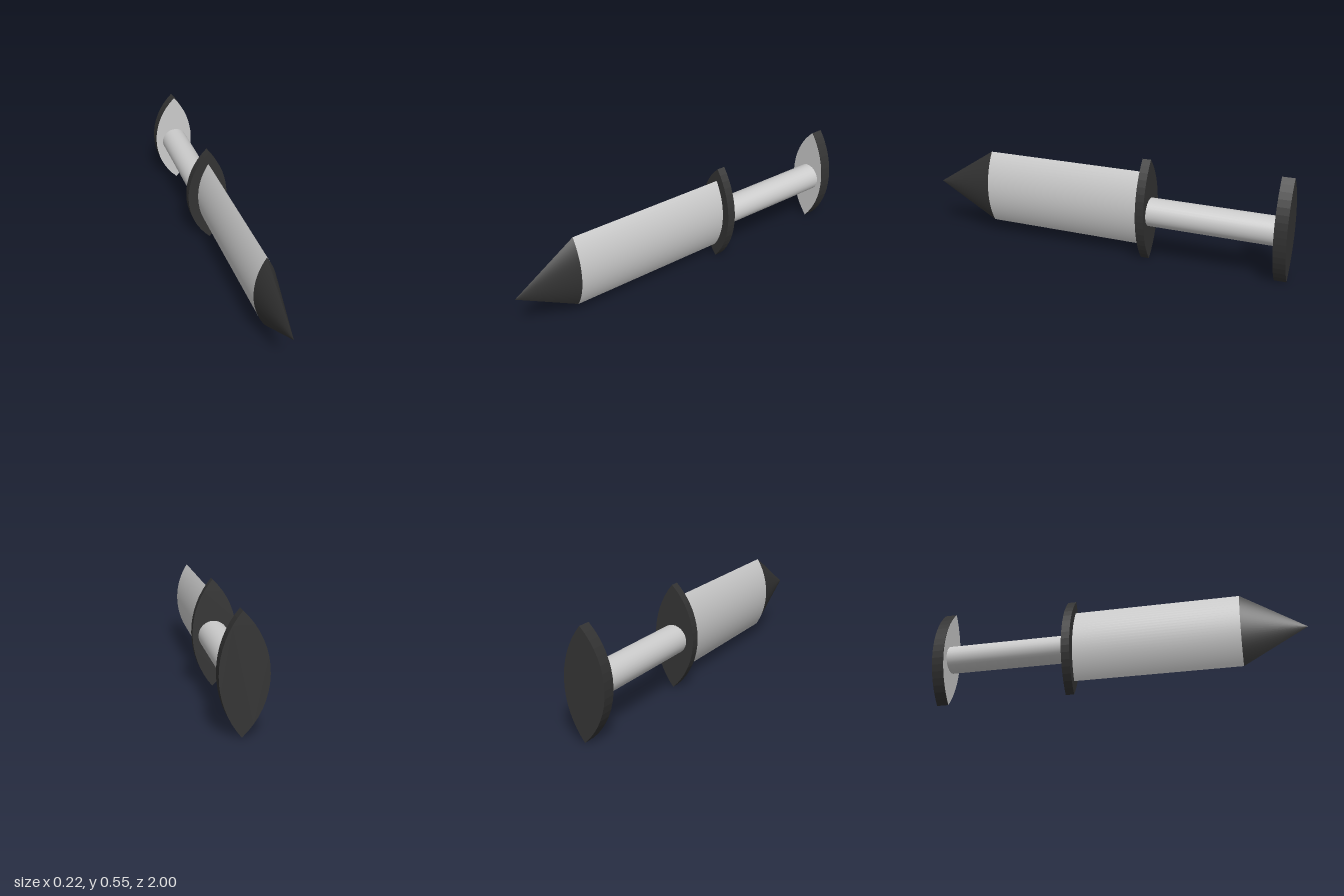
import * as THREE from 'three';
import { toCreasedNormals } from 'three/addons/utils/BufferGeometryUtils.js';

const grey = new THREE.MeshStandardMaterial({ color: 0xcccccc });
const dark = new THREE.MeshStandardMaterial({ color: 0x333333 });

// Pointed oval made of two circular arcs, counter-clockwise from the bottom point
function lens(tipX, left, right, bottom, top, steps) {
  const half = (top - bottom) / 2, mid = (top + bottom) / 2;
  const points = [];
  for (const [edge, dir] of [[right, 1], [left, -1]]) {
    const sag = Math.abs(edge - tipX);
    const radius = (half * half + sag * sag) / (2 * sag);
    const angle = Math.asin(half / radius);
    for (let i = 0; i < steps; i++) {
      const a = angle * (2 * i / steps - 1);
      points.push(new THREE.Vector2(
        edge - dir * radius * (1 - Math.cos(a)),
        mid + dir * radius * Math.sin(a)));
    }
  }
  return points;
}

// Prism along z
function prism(points, z0, z1) {
  const geo = new THREE.ExtrudeGeometry(new THREE.Shape(points), { depth: z1 - z0, bevelEnabled: false });
  return geo.translate(0, 0, z0);
}

// Sloping sides from an outline to a single apex
function spike(points, z, apex) {
  const pos = [];
  points.forEach((p, i) => {
    const q = points[(i + 1) % points.length];
    pos.push(p.x, p.y, z, q.x, q.y, z, apex.x, apex.y, apex.z);
  });
  const geo = new THREE.BufferGeometry();
  geo.setAttribute('position', new THREE.Float32BufferAttribute(pos, 3));
  geo.computeVertexNormals();
  return geo;
}

export function createModel() {
  const group = new THREE.Group();
  const add = (name, geo, material) => {
    const mesh = new THREE.Mesh(geo, material);
    mesh.name = name;
    group.add(mesh);
    return mesh;
  };

  const plate = lens(0.01, -0.11, 0.11, 0, 0.547, 16);
  const section = lens(0.005, -0.055, 0.065, 0.073, 0.475, 24);

  // Blade and its point
  add('blade', toCreasedNormals(prism(section, -0.226, 0.665), 0.5), grey);
  add('bladeTip', toCreasedNormals(spike(section, 0.665, new THREE.Vector3(0.01, 0.262, 1)), 0.4), dark);

  // Guard and pommel plates
  add('guard', prism(plate, -0.272, -0.226), dark);
  add('pommel', prism(plate, -1, -0.936), dark);

  // Pale inner face of the pommel
  add('pommelFace', new THREE.ShapeGeometry(new THREE.Shape(plate)), grey).position.z = -0.934;

  // Round grip
  const grip = new THREE.CylinderGeometry(0.075, 0.075, 0.666, 32).rotateX(Math.PI / 2);
  add('grip', grip, grey).position.set(0.005, 0.263, -0.604);

  return group;
}
